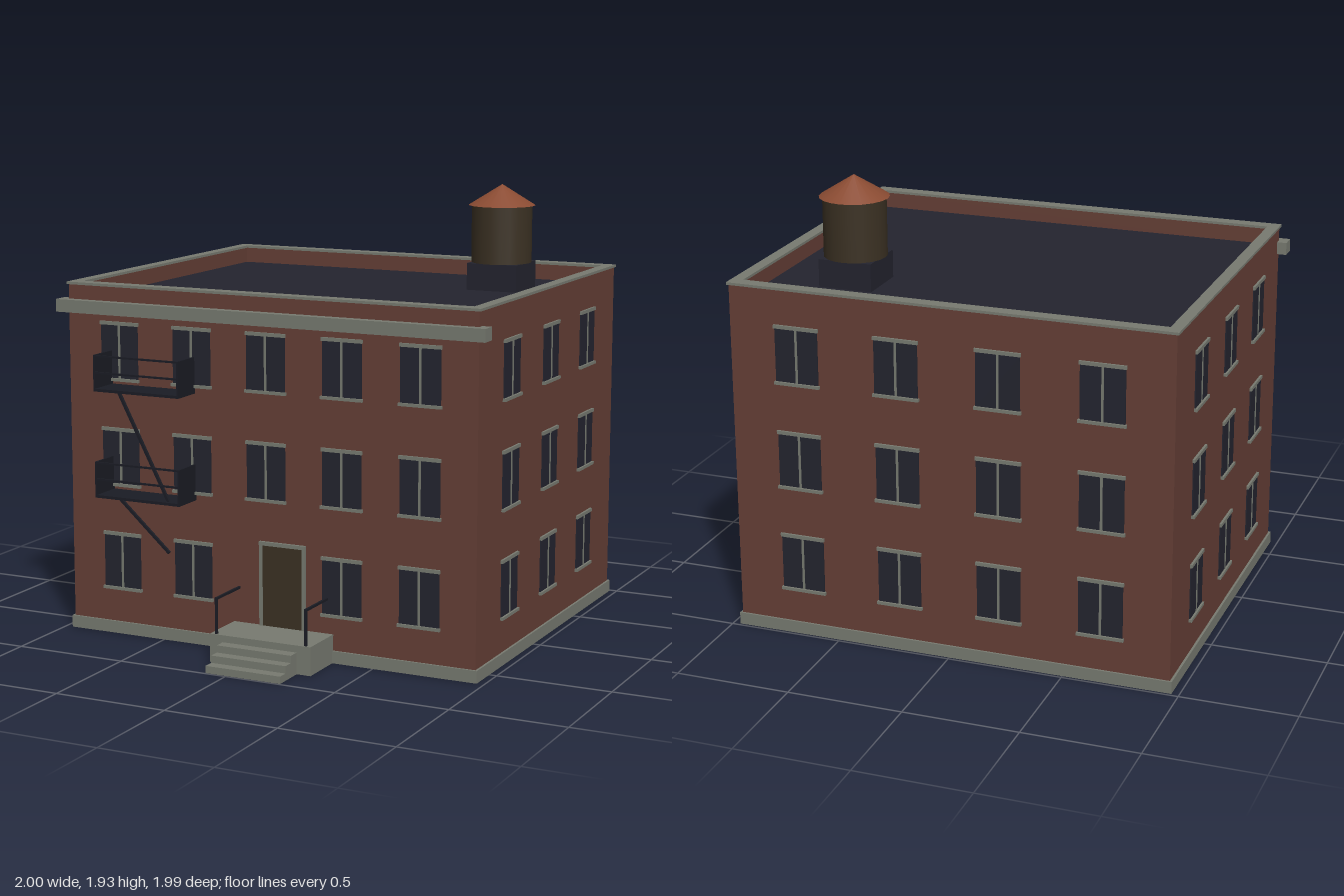
import * as THREE from 'three';

const mat = (name, color) => {
  const m = new THREE.MeshStandardMaterial({ color });
  m.name = name;
  return m;
};

export function createModel() {
  const brick = mat('brick', 0x653f36);
  const stone = mat('stone', 0x777a70);
  const slate = mat('roof slate', 0x23232e);
  const glass = mat('window glass', 0x23242f);
  const iron = mat('dark iron', 0x1a1c24);
  const wood = mat('dark wood', 0x3b3123);
  const copper = mat('rust copper', 0x8a4b32);

  const model = new THREE.Group();
  model.name = 'apartmentBuilding';

  const group = (name, parent = model) => {
    const g = new THREE.Group();
    g.name = name;
    parent.add(g);
    return g;
  };
  // Box given by its min and max on each axis
  const box = (name, m, [x0, x1], [y0, y1], [z0, z1], parent = model) => {
    const mesh = new THREE.Mesh(new THREE.BoxGeometry(x1 - x0, y1 - y0, z1 - z0), m);
    mesh.position.set((x0 + x1) / 2, (y0 + y1) / 2, (z0 + z1) / 2);
    mesh.name = name;
    parent.add(mesh);
    return mesh;
  };
  // Rectangular ring, open in the middle, lying flat
  const ring = (name, m, [x, zb, zf], [ix, izb, izf], y0, y1) => {
    const rect = (C, w, b, f) => new C([
      new THREE.Vector2(-w, -f), new THREE.Vector2(w, -f),
      new THREE.Vector2(w, -b), new THREE.Vector2(-w, -b)]);
    const shape = rect(THREE.Shape, x, zb, zf);
    shape.holes.push(rect(THREE.Path, ix, izb, izf));
    const geo = new THREE.ExtrudeGeometry(shape, { depth: y1 - y0, bevelEnabled: false });
    geo.rotateX(-Math.PI / 2);
    const mesh = new THREE.Mesh(geo, m);
    mesh.position.y = y0;
    mesh.name = name;
    model.add(mesh);
  };

  const X = 0.958, ZF = 0.628, ZB = -0.979;

  // Main shell
  box('plinth', stone, [-0.968, 0.968], [0, 0.053], [-0.988, 0.638]);
  box('walls', brick, [-X, X], [0.053, 1.45], [ZB, ZF]);
  box('roofDeck', slate, [-0.92, 0.92], [1.45, 1.46], [-0.932, 0.581]);
  ring('parapet', brick, [X, ZB, ZF], [0.92, -0.932, 0.581], 1.45, 1.53);
  ring('coping', stone, [0.966, -0.986, 0.635], [0.915, -0.928, 0.577], 1.53, 1.541);
  box('cornice', stone, [-1, 1], [1.412, 1.467], [0.598, 0.668]);

  // Windows, each built facing +z on the wall plane
  const addWindow = (parent, x, y, w) => {
    const g = group('window', parent);
    g.position.set(x, y, 0);
    const h = w / 2;
    box('pane', glass, [-h, h], [0.01, 0.245], [-0.002, 0.005], g);
    box('mullion', stone, [-0.005, 0.005], [0.01, 0.245], [0, 0.008], g);
    box('lintel', stone, [-h - 0.004, h + 0.004], [0.243, 0.258], [-0.002, 0.01], g);
    box('sill', stone, [-h - 0.006, h + 0.006], [0, 0.013], [-0.002, 0.014], g);
  };
  const floors = [0.197, 0.66, 1.123];
  const facade = (name, x, z, turn, columns, w, skip = () => false) => {
    const g = group(name);
    g.position.set(x, 0, z);
    g.rotation.y = turn;
    floors.forEach((y, f) => columns.forEach((c, i) => {
      if (!skip(f, i)) addWindow(g, c, y, w);
    }));
  };
  const sideZ = (ZF + ZB) / 2;
  facade('frontWindows', 0, ZF, 0, [-0.706, -0.353, 0, 0.353, 0.706], 0.18, (f, i) => f === 0 && i === 2);
  facade('backWindows', 0, ZB, Math.PI, [-0.66, -0.22, 0.22, 0.66], 0.19);
  facade('leftWindows', X, sideZ, Math.PI / 2, [-0.45, 0, 0.45], 0.176);
  facade('rightWindows', -X, sideZ, -Math.PI / 2, [-0.45, 0, 0.45], 0.176);

  // Entrance
  const entrance = group('entrance');
  box('door', wood, [-0.018, 0.172], [0.12, 0.476], [0.62, 0.635], entrance);
  for (const [a, b] of [[-0.031, -0.016], [0.17, 0.185]])
    box('doorJamb', stone, [a, b], [0.12, 0.476], [0.62, 0.64], entrance);
  box('doorHead', stone, [-0.031, 0.185], [0.474, 0.49], [0.62, 0.642], entrance);
  box('stoop', stone, [-0.158, 0.313], [0, 0.123], [0.62, 0.843], entrance);
  for (let i = 0; i < 3; i++)
    box('step', stone, [-0.097, 0.25], [i * 0.031, (i + 1) * 0.031], [0.84, 0.993 - i * 0.049], entrance);
  for (const x of [-0.132, 0.287]) {
    box('railPost', iron, [x - 0.005, x + 0.005], [0.12, 0.28], [0.827, 0.837], entrance);
    box('handrail', iron, [x - 0.005, x + 0.005], [0.27, 0.28], [0.628, 0.837], entrance);
  }

  // Fire escape: two balconies and slanted ladders
  const escape = group('fireEscape');
  const x0 = -0.752, x1 = -0.338, zo = 0.774;
  for (const y of [0.635, 1.098]) {
    const g = group('balcony', escape);
    box('platform', iron, [x0, x1], [y, y + 0.012], [0.62, zo], g);
    for (const x of [x0, x1 - 0.008])
      box('endPanel', iron, [x, x + 0.008], [y, y + 0.157], [0.62, zo], g);
    for (const h of [0.077, 0.149])
      box('frontRail', iron, [x0, x1], [y + h, y + h + 0.008], [zo - 0.008, zo], g);
  }
  for (const [ya, yb] of [[1.098, 0.645], [0.635, 0.423]]) {
    const a = new THREE.Vector2(-0.64, ya), b = new THREE.Vector2(-0.403, yb);
    const ladder = new THREE.Mesh(new THREE.BoxGeometry(a.distanceTo(b), 0.012, 0.012), iron);
    ladder.position.set((a.x + b.x) / 2, (ya + yb) / 2, 0.75);
    ladder.rotation.z = Math.atan2(yb - ya, b.x - a.x);
    ladder.name = 'ladder';
    escape.add(ladder);
  }

  // Rooftop water tank
  const tank = group('waterTank');
  tank.position.set(0.573, 0, -0.558);
  box('tankStand', slate, [-0.118, 0.118], [1.455, 1.58], [-0.118, 0.118], tank);
  const barrel = new THREE.Mesh(new THREE.CylinderGeometry(0.135, 0.135, 0.26, 20), wood);
  barrel.position.y = 1.71;
  barrel.name = 'tankBarrel';
  const lid = new THREE.Mesh(new THREE.ConeGeometry(0.149, 0.093, 20), copper);
  lid.position.y = 1.881;
  lid.name = 'tankRoof';
  tank.add(barrel, lid);

  return model;
}
